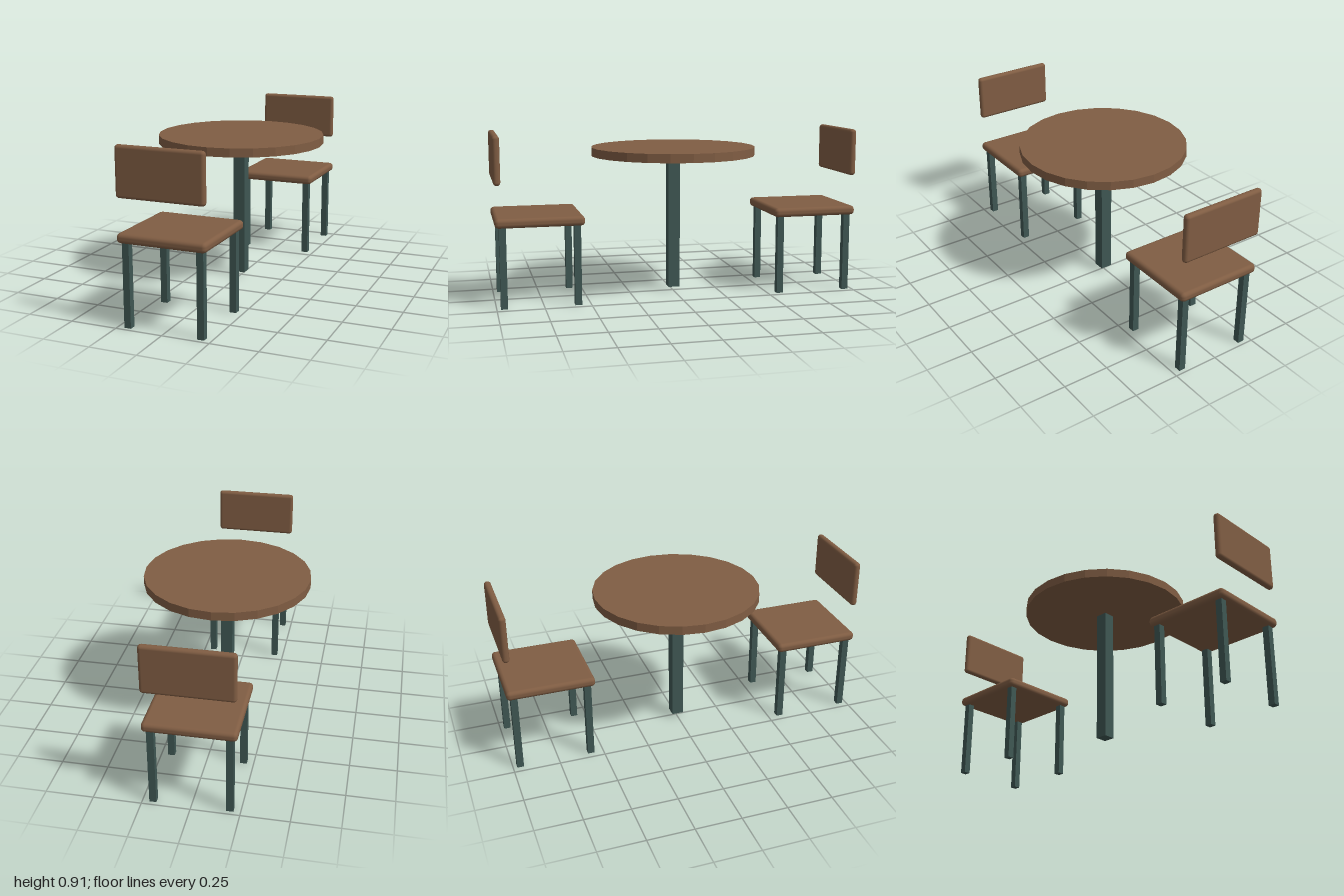
import * as THREE from 'three';
import { RoundedBoxGeometry } from 'three/addons/geometries/RoundedBoxGeometry.js';

export function createModel() {
  const wood = new THREE.MeshStandardMaterial({ color: 0x805d43 });
  wood.name = 'brown wood';
  const metal = new THREE.MeshStandardMaterial({ color: 0x3f5753 });
  metal.name = 'dark green metal';

  const add = (parent, name, geometry, material, x, y, z) => {
    const mesh = new THREE.Mesh(geometry, material);
    mesh.name = name;
    mesh.position.set(x, y, z);
    parent.add(mesh);
  };

  const model = new THREE.Group();
  model.name = 'tableAndChairs';

  // Round table on a square post
  const table = new THREE.Group();
  table.name = 'table';
  const top = new THREE.CylinderGeometry(0.455, 0.455, 0.047, 24).toNonIndexed();
  top.computeVertexNormals(); // faceted rim
  add(table, 'tableTop', top, wood, 0, 0.797, 0);
  add(table, 'tablePost', new THREE.BoxGeometry(0.065, 0.75, 0.065), metal, 0, 0.4, 0);
  model.add(table);

  // Two chairs facing the table, each with a floating backrest
  const seat = new RoundedBoxGeometry(0.472, 0.051, 0.472, 2, 0.021);
  const back = new RoundedBoxGeometry(0.464, 0.258, 0.037, 2, 0.017);
  const leg = new THREE.BoxGeometry(0.036, 0.434, 0.036);
  for (const side of [1, -1]) {
    const chair = new THREE.Group();
    chair.name = side > 0 ? 'frontChair' : 'backChair';
    add(chair, 'seat', seat, wood, 0, 0.4575, 0);
    add(chair, 'backrest', back, wood, 0, 0.784, 0.2175);
    for (const x of [-0.196, 0.196])
      for (const z of [-0.196, 0.196]) add(chair, 'chairLeg', leg, metal, x, 0.217, z);
    chair.position.z = side * 0.764;
    if (side < 0) chair.rotation.y = Math.PI;
    model.add(chair);
  }
  return model;
}
